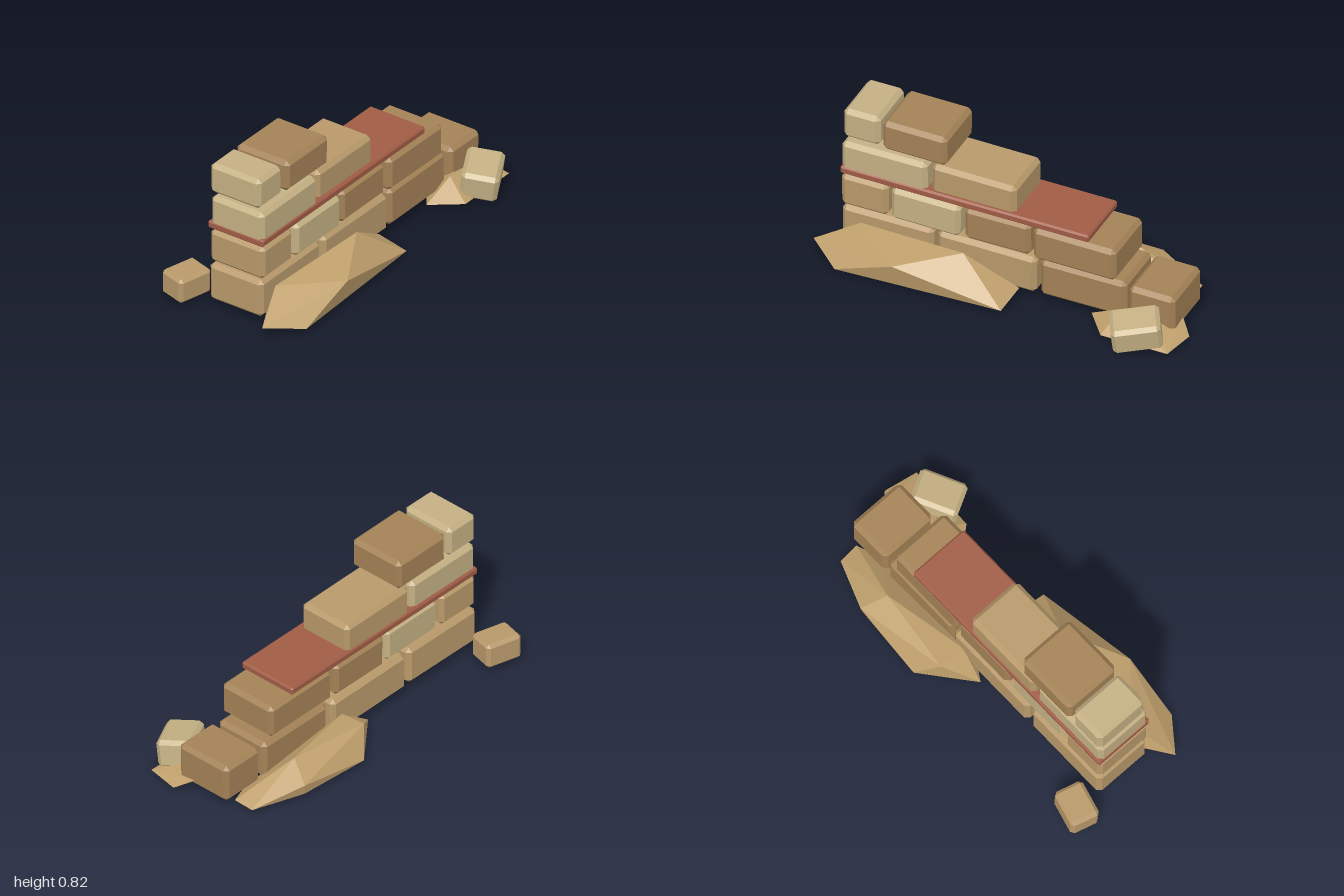
import * as THREE from 'three';
import { ConvexGeometry } from 'three/addons/geometries/ConvexGeometry.js';

const material = (color) => new THREE.MeshStandardMaterial({ color, flatShading: true });
const pale = material(0xc4b083);
const tan = material(0xb8996a);
const brown = material(0xa48256);
const red = material(0xa05c45);
const sand = material(0xbf9f6c);

// Box with every edge and corner cut by a flat chamfer
function chamferBox(w, h, d, c) {
  const points = [];
  for (const x of [-1, 1]) for (const y of [-1, 1]) for (const z of [-1, 1]) {
    for (let axis = 0; axis < 3; axis++) {
      const cut = [c, c, c];
      cut[axis] = 0;
      points.push(new THREE.Vector3(
        x * (w / 2 - cut[0]), y * (h / 2 - cut[1]), z * (d / 2 - cut[2])));
    }
  }
  return new ConvexGeometry(points);
}

function add(parent, name, geometry, mat) {
  const mesh = new THREE.Mesh(geometry, mat);
  mesh.name = name;
  parent.add(mesh);
  return mesh;
}

// Block given by its extents on each axis
function block(parent, name, [x0, x1], [y0, y1], [z0, z1], mat, chamfer = 0.022) {
  const mesh = add(parent, name, chamferBox(x1 - x0, y1 - y0, z1 - z0, chamfer), mat);
  mesh.position.set((x0 + x1) / 2, (y0 + y1) / 2, (z0 + z1) / 2);
  return mesh;
}

// Faceted mound wrapped around a few points
function mound(parent, name, points) {
  return add(parent, name, new ConvexGeometry(points.map((p) => new THREE.Vector3(...p))), sand);
}

export function createModel() {
  const model = new THREE.Group();

  // Stepped courses of stone: height range, then [x start, x end, z back, z front, material]
  const courses = [
    { y: [0.03, 0.24], stones: [
      [-0.89, -0.39, -0.17, 0.155, tan], [-0.37, 0.17, -0.175, 0.155, tan],
      [0.19, 0.66, -0.165, 0.15, brown], [0.68, 0.93, -0.16, 0.163, brown]] },
    { y: [0.25, 0.435], stones: [
      [-0.89, -0.635, -0.165, 0.165, tan], [-0.615, -0.24, -0.16, 0.17, pale],
      [-0.22, 0.14, -0.168, 0.16, brown], [0.16, 0.61, -0.165, 0.17, brown]] },
    { y: [0.45, 0.63], stones: [
      [-0.89, -0.425, -0.16, 0.16, pale], [-0.405, 0.055, -0.165, 0.145, tan]] },
    { y: [0.645, 0.815], stones: [
      [-0.89, -0.69, -0.165, 0.14, pale], [-0.67, -0.32, -0.167, 0.153, brown]] },
  ];
  courses.forEach(({ y, stones }, i) => {
    const course = new THREE.Group();
    course.name = `stoneCourse${i + 1}`;
    stones.forEach(([x0, x1, z0, z1, mat], j) => {
      const stone = block(course, `stone${j + 1}`, [x0, x1], y, [z0, z1], mat);
      stone.rotation.z = (j % 2 ? -1 : 1) * 0.006;
    });
    model.add(course);
  });

  // Thin brick band through the wall
  block(model, 'brickBand', [-0.893, 0.465], [0.441, 0.484], [-0.172, 0.166], red, 0.009);

  // Fallen stones
  const backStone = block(model, 'fallenStoneBack',
    [-0.98, -0.778], [0.012, 0.152], [-0.388, -0.232], tan, 0.018);
  backStone.rotation.set(0.03, -0.26, 0.02);
  const frontStone = block(model, 'fallenStoneFront',
    [0.655, 0.905], [0.02, 0.17], [0.185, 0.375], pale, 0.02);
  frontStone.rotation.set(0.15, 0.5, 0.05);

  // Heaps of rubble and sand against the foot of the wall
  mound(model, 'frontHeap', [
    [-1, 0.06, 0.24], [-0.82, 0.02, 0.38], [0.07, 0.02, 0.34], [0.085, 0.045, 0.16],
    [-0.8, 0.02, 0.12], [0, 0.02, 0.1], [-0.78, 0.17, 0.16], [-0.5, 0.145, 0.395],
    [-0.19, 0.215, 0.225]]);
  mound(model, 'backHeap', [
    [-0.06, 0.02, -0.2], [0.2, 0.02, -0.41], [0.61, 0.08, -0.39], [0.875, 0.02, -0.28],
    [0.88, 0.03, -0.17], [0.75, 0.02, -0.12], [0.1, 0.145, -0.32], [0.55, 0.155, -0.265],
    [0.1, 0.13, -0.17], [0.05, 0.02, -0.13], [0.6, 0.02, -0.38]]);
  mound(model, 'sideHeap', [
    [1, 0.02, 0.13], [0.965, 0.02, 0.31], [0.6, 0.02, 0.31], [0.48, 0.02, 0.16],
    [0.68, 0.02, 0.015], [0.93, 0.065, 0.055], [0.65, 0.11, 0.18], [0.85, 0.08, 0.17]]);

  return model;
}
